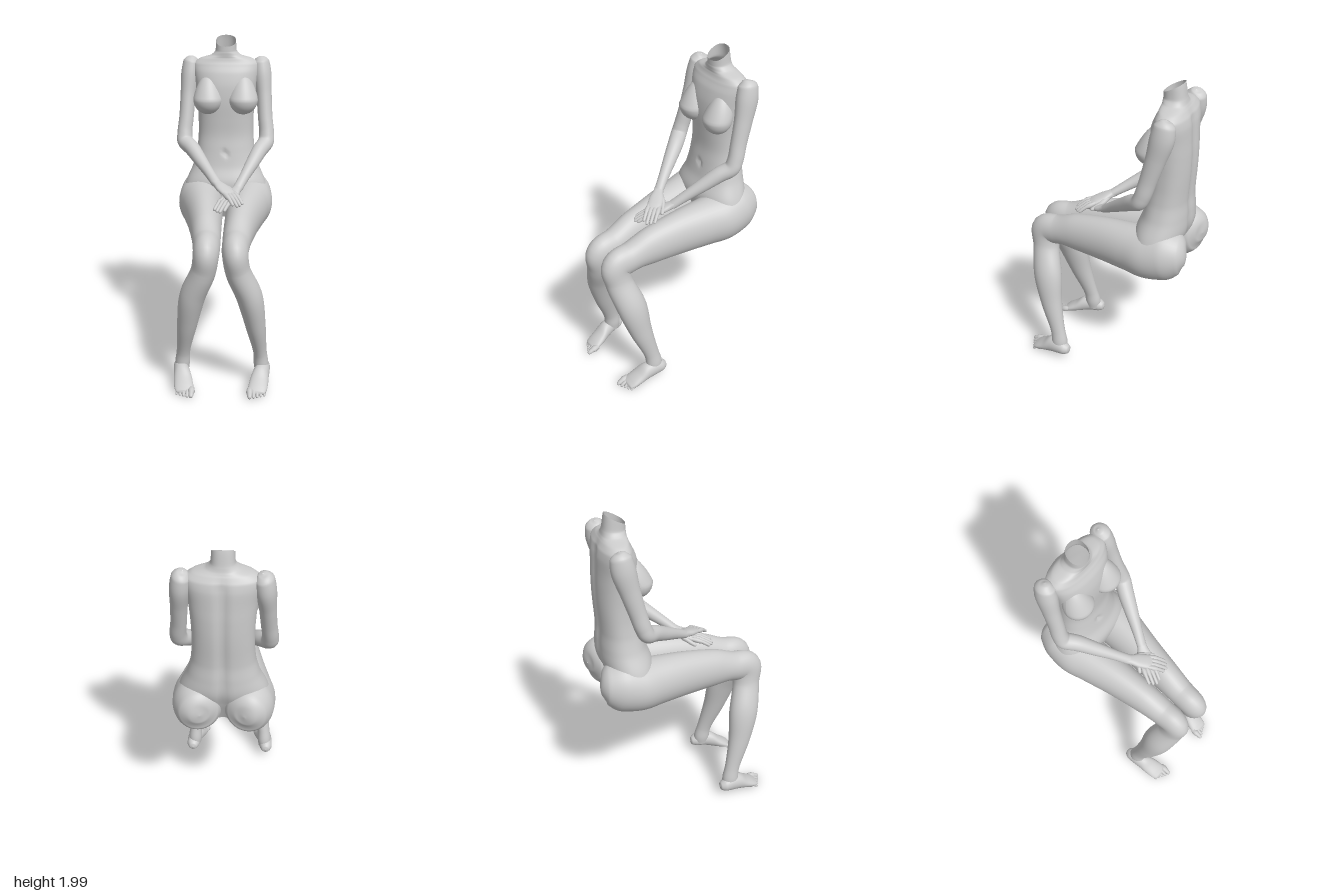
import * as THREE from 'three';

const V = (x, y, z) => new THREE.Vector3(x, y, z);
const skin = new THREE.MeshStandardMaterial({ color: 0xcccccc });
const openSkin = new THREE.MeshStandardMaterial({ color: 0xcccccc, side: THREE.DoubleSide });

// Smooth loft through rows of [x, y, z, halfWidth, halfDepth].
// tangent fixes the section plane, side steers the width axis, n > 2 squares the section.
function loft(name, rows, { steps = 6, radial = 28, n = 2, tangent, side = V(1, 0, 0), sculpt, material = skin } = {}) {
  const path = new THREE.CatmullRomCurve3(rows.map(r => V(r[0], r[1], r[2])));
  const size = new THREE.CatmullRomCurve3(rows.map(r => V(r[3], r[4], 0)));
  const count = (rows.length - 1) * steps;
  const pos = [], index = [];
  const round = c => Math.sign(c) * Math.abs(c) ** (2 / n);
  for (let i = 0; i <= count; i++) {
    const c = path.getPoint(i / count), r = size.getPoint(i / count);
    const t = tangent || path.getTangent(i / count);
    const s = side.clone().addScaledVector(t, -side.dot(t)).normalize();
    const m = t.clone().cross(s);
    for (let j = 0; j < radial; j++) {
      const a = j / radial * Math.PI * 2;
      const p = c.clone().addScaledVector(s, r.x * round(Math.cos(a))).addScaledVector(m, r.y * round(Math.sin(a)));
      if (sculpt) sculpt(p);
      pos.push(p.x, p.y, p.z);
      if (i < count) {
        const k = i * radial, j2 = (j + 1) % radial;
        index.push(k + j, k + j2, k + radial + j, k + j2, k + radial + j2, k + radial + j);
      }
    }
  }
  const g = new THREE.BufferGeometry();
  g.setAttribute('position', new THREE.Float32BufferAttribute(pos, 3));
  g.setIndex(index);
  g.computeVertexNormals();
  const mesh = new THREE.Mesh(g, material);
  mesh.name = name;
  return mesh;
}

const mirrored = (rows, sx) => rows.map(([x, ...rest]) => [x * sx, ...rest]);

// Small tapered digit with a rounded tip
function digit(name, a, mid, b, r) {
  const end = b.clone().sub(mid).normalize();
  const row = (p, q) => [p.x, p.y, p.z, q, q];
  return loft(name, [row(a, r), row(mid, r), row(b.clone().addScaledVector(end, -r), r * 0.85),
    row(b.clone().addScaledVector(end, -r * 0.3), r * 0.6), row(b, 0.0005)], { steps: 3, radial: 10 });
}

// Torso and open, slanted neck: [y, back z, front z, half width]
function torso() {
  const rows = [
    [0.88, -0.40, -0.25, 0.20], [1.0, -0.45, -0.2, 0.272], [1.1, -0.485, -0.19, 0.248],
    [1.2, -0.49, -0.222, 0.205], [1.3, -0.485, -0.24, 0.18], [1.4, -0.49, -0.253, 0.172],
    [1.5, -0.495, -0.25, 0.172], [1.6, -0.495, -0.245, 0.178], [1.7, -0.49, -0.25, 0.188],
    [1.78, -0.485, -0.268, 0.2], [1.83, -0.472, -0.29, 0.2], [1.862, -0.452, -0.302, 0.16],
    [1.882, -0.44, -0.303, 0.092], [1.91, -0.43, -0.303, 0.065], [1.968, -0.415, -0.303, 0.061],
  ].map(([y, zb, zf, w]) => [0, y, (zb + zf) / 2, w, (zf - zb) / 2]);
  return loft('torso', rows, {
    n: 2.3, radial: 72, tangent: V(0, 1, 0), material: openSkin,
    sculpt(p) {
      const body = 1 - THREE.MathUtils.smoothstep(p.y, 1.78, 1.88);
      if (p.z < -0.38) p.z += 0.016 * body * Math.exp(-((p.x / 0.028) ** 2)); // spine groove
      else if (p.z > -0.3) // navel
        p.z -= 0.016 * Math.exp(-((p.x / 0.012) ** 2) - ((p.y - 1.29) / 0.018) ** 2);
      p.y -= 0.55 * (p.z + 0.36) * THREE.MathUtils.smoothstep(p.y, 1.89, 1.968);
    },
  });
}

// Breast: sphere stretched into a teardrop
function breast(sx) {
  const g = new THREE.SphereGeometry(1, 32, 24);
  const p = g.attributes.position;
  for (let i = 0; i < p.count; i++) {
    const y = p.getY(i), up = Math.max(y, 0);
    p.setXYZ(i, p.getX(i) * 0.09 * (1 - 0.12 * up), y * 0.092 + up * up * 0.06, p.getZ(i) * 0.085 - up * 0.04);
  }
  g.computeVertexNormals();
  const mesh = new THREE.Mesh(g, skin);
  mesh.name = 'breast';
  mesh.position.set(sx * 0.108, 1.622, -0.276);
  return mesh;
}

// Leg: buttock, thigh, bent knee, shin and ankle in one sweep
function leg(sx) {
  const g = new THREE.Group();
  g.name = sx > 0 ? 'leftLeg' : 'rightLeg';
  g.add(loft('buttockThighAndShin', mirrored([
    [0.125, 1.0, -0.525, 0.002, 0.002], [0.128, 1.0, -0.517, 0.06, 0.06], [0.135, 1.0, -0.485, 0.112, 0.122],
    [0.145, 0.988, -0.4, 0.143, 0.163], [0.149, 0.965, -0.3, 0.146, 0.16], [0.138, 0.957, -0.18, 0.129, 0.152],
    [0.116, 0.943, 0, 0.108, 0.141], [0.096, 0.92, 0.2, 0.09, 0.12], [0.085, 0.893, 0.33, 0.08, 0.094],
    [0.082, 0.865, 0.422, 0.075, 0.1], [0.098, 0.76, 0.425, 0.072, 0.085], [0.162, 0.6, 0.386, 0.075, 0.092],
    [0.2, 0.4, 0.345, 0.059, 0.07], [0.229, 0.2, 0.289, 0.04, 0.048], [0.235, 0.13, 0.277, 0.044, 0.052],
    [0.238, 0.08, 0.275, 0.04, 0.048],
  ], sx), { steps: 7, radial: 36 }));

  g.add(loft('foot', mirrored([
    [0.248, 0.088, 0.199, 0.002, 0.002], [0.248, 0.088, 0.206, 0.024, 0.024], [0.248, 0.09, 0.235, 0.04, 0.042],
    [0.243, 0.092, 0.29, 0.045, 0.053], [0.232, 0.08, 0.345, 0.05, 0.054], [0.222, 0.055, 0.395, 0.056, 0.038],
    [0.215, 0.036, 0.44, 0.056, 0.025], [0.211, 0.025, 0.468, 0.046, 0.014], [0.211, 0.022, 0.475, 0.002, 0.002],
  ], sx), { tangent: V(0, 0, 1) }));
  // Toes, big toe innermost
  for (let i = 0; i < 5; i++) {
    const x = sx * (i ? 0.172 + i * 0.021 : 0.17), r = i ? 0.0115 - i * 0.0006 : 0.016;
    const z = 0.515 - i * 0.011;
    g.add(digit('toe', V(x, 0.035, z - 0.08), V(x, 0.027, z - 0.035), V(x, r * 0.85, z), r));
  }
  return g;
}

// Arm with bent elbow, ending at the given wrist point
function arm(sx, wrist) {
  const elbow = V(sx * 0.253, 1.375, -0.292);
  const at = (k, r, q = r) => [...elbow.clone().lerp(wrist, k).toArray(), r, q];
  return loft(sx > 0 ? 'leftArm' : 'rightArm', [
    ...mirrored([
      [0.205, 1.87, -0.405, 0.002, 0.002], [0.207, 1.863, -0.403, 0.028, 0.03], [0.214, 1.835, -0.4, 0.052, 0.06],
      [0.223, 1.76, -0.39, 0.057, 0.069], [0.235, 1.64, -0.362, 0.048, 0.058], [0.245, 1.5, -0.325, 0.045, 0.05],
      [0.254, 1.41, -0.3, 0.046, 0.048],
    ], sx),
    [sx * 0.25, 1.36, -0.277, 0.049, 0.047], at(0.24, 0.047), at(0.5, 0.04), at(0.78, 0.031), at(1, 0.029, 0.024),
  ], { steps: 7 });
}

// Flat palm, four fingers and a thumb, running from wrist to fingertips
function hand(sx, wrist, knuckle, tip) {
  const g = new THREE.Group();
  g.name = sx > 0 ? 'leftHand' : 'rightHand';
  const side = V(0, 1, 0).cross(knuckle.clone().sub(wrist)).normalize().multiplyScalar(-sx); // towards the thumb
  const at = (k, a, b) => [...wrist.clone().lerp(knuckle, k).toArray(), a, b];
  g.add(loft('palm', [at(-0.15, 0.027, 0.023), at(0.1, 0.03, 0.021), at(0.45, 0.042, 0.02), at(0.85, 0.044, 0.017),
    at(1.08, 0.038, 0.011), at(1.12, 0.002, 0.002)], { side, n: 2.3 }));
  for (let i = 0; i < 4; i++) {
    const off = (i - 1.5) * 0.021, reach = [0.85, 1, 0.98, 0.9][i];
    const a = knuckle.clone().lerp(wrist, 0.15).addScaledVector(side, off);
    const b = knuckle.clone().lerp(tip, reach).addScaledVector(side, off * 1.05);
    const mid = knuckle.clone().lerp(tip, reach * 0.5).addScaledVector(side, off * 1.05);
    mid.y += 0.008;
    g.add(digit('finger', a, mid, b, 0.0112));
  }
  const along = (k, s, dy) => wrist.clone().lerp(knuckle, k).addScaledVector(side, s).add(V(0, dy, 0));
  g.add(digit('thumb', along(0.2, 0.018, -0.004), along(0.7, 0.046, -0.01), along(1.2, 0.054, -0.018), 0.0135));
  return g;
}

export function createModel() {
  const model = new THREE.Group();
  model.name = 'seatedFigure';
  model.add(torso());
  // Right hand rests on top of the left
  const wrists = { 1: V(0.083, 1.135, 0.02), '-1': V(-0.042, 1.17, 0.03) };
  const knuckles = { 1: V(0.022, 1.088, 0.12), '-1': V(0.04, 1.13, 0.125) };
  const tips = { 1: V(-0.025, 1.045, 0.225), '-1': V(0.098, 1.075, 0.208) };
  for (const sx of [1, -1])
    model.add(breast(sx), leg(sx), arm(sx, wrists[sx]), hand(sx, wrists[sx], knuckles[sx], tips[sx]));
  return model;
}
